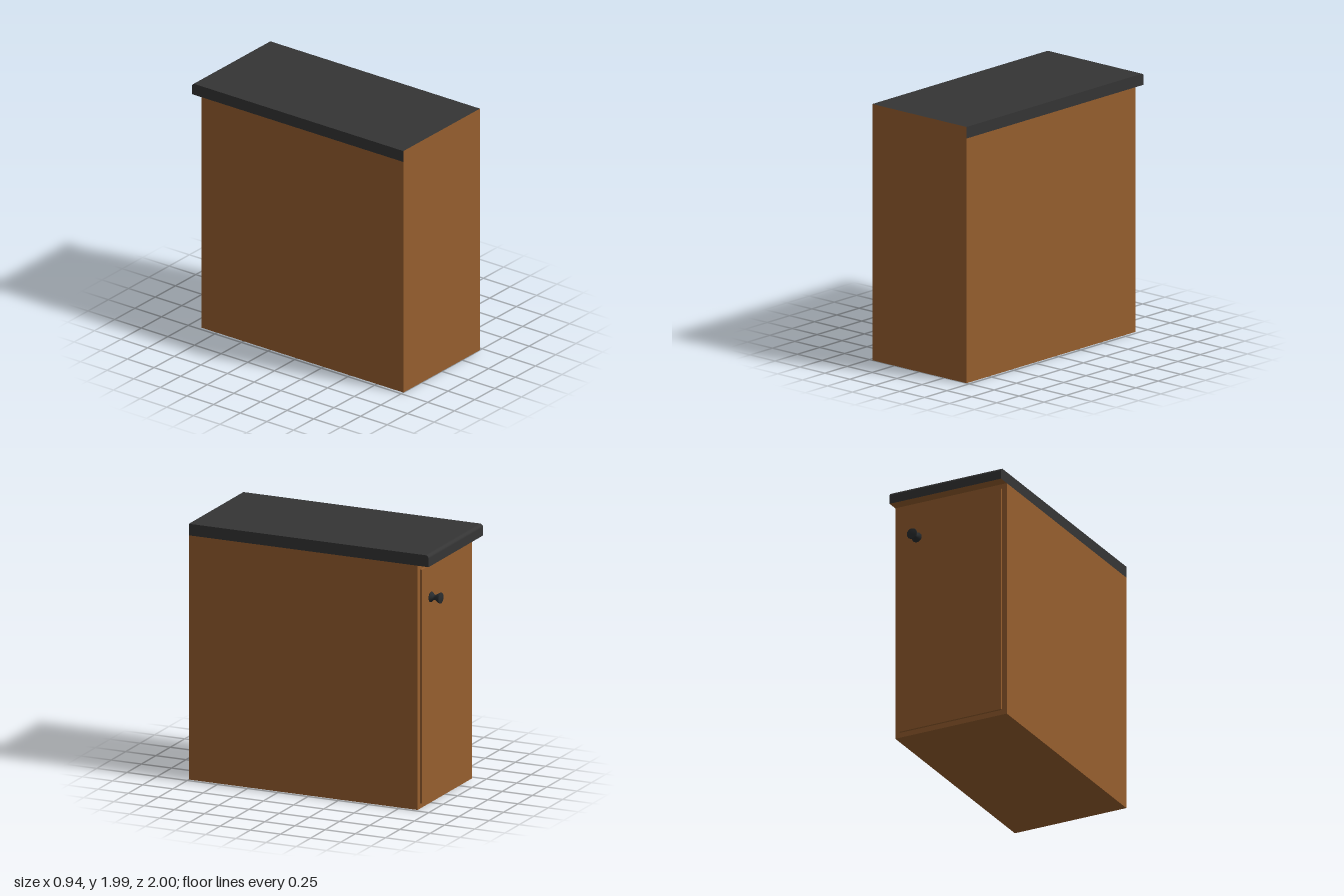
import * as THREE from 'three';

const WIDTH = 0.945;

export function createModel() {
  const group = new THREE.Group();
  const wood = new THREE.MeshStandardMaterial({ color: 0x965e2e });
  wood.name = 'brown wood';
  const stone = new THREE.MeshStandardMaterial({ color: 0x353535 });
  stone.name = 'dark worktop';
  const metal = new THREE.MeshStandardMaterial({ color: 0x292c2e });
  metal.name = 'dark metal';

  const add = (name, geometry, material, x, y, z) => {
    const mesh = new THREE.Mesh(geometry, material);
    mesh.name = name;
    mesh.position.set(x, y, z);
    group.add(mesh);
    return mesh;
  };

  // Cabinet body and the door on its back-facing side
  add('cabinetBody', new THREE.BoxGeometry(WIDTH, 1.9, 1.895), wood, 0, 0.95, 0.0525);
  add('door', new THREE.BoxGeometry(WIDTH - 0.08, 1.82, 0.017), wood, 0, 0.95, -0.9035);

  // Worktop: side profile (shape x = -z) with a rounded upper edge over the door
  const profile = new THREE.Shape();
  const r = 0.025;
  profile.moveTo(-1, 1.9);
  profile.lineTo(0.985, 1.9);
  profile.lineTo(0.985, 1.99 - r);
  profile.absarc(0.985 - r, 1.99 - r, r, 0, Math.PI / 2, false);
  profile.lineTo(-1, 1.99);
  profile.closePath();
  const topGeometry = new THREE.ExtrudeGeometry(profile, { depth: WIDTH, bevelEnabled: false, curveSegments: 6 });
  topGeometry.translate(0, 0, -WIDTH / 2);
  topGeometry.rotateY(Math.PI / 2);

  // The underside and the flat end of the worktop are bare wood
  topGeometry.clearGroups();
  const normals = topGeometry.attributes.normal;
  for (let i = 0; i < normals.count; i += 3) {
    const bare = normals.getY(i) < -0.9 || normals.getZ(i) > 0.9;
    topGeometry.addGroup(i, 3, bare ? 1 : 0);
  }
  add('worktop', topGeometry, [stone, wood], 0, 0, 0);

  // Door knob: waisted turned profile, axis pointing away from the door
  const knobProfile = [
    [0, 0], [0.04, 0], [0.04, 0.006], [0.02, 0.026], [0.02, 0.04],
    [0.032, 0.06], [0.043, 0.078], [0.04, 0.086], [0, 0.088],
  ].map(([x, y]) => new THREE.Vector2(x, y));
  const knobGeometry = new THREE.LatheGeometry(knobProfile, 16);
  const knob = add('doorKnob', knobGeometry, metal, 0.28, 1.61, -0.912);
  knob.rotation.x = -Math.PI / 2;

  return group;
}
